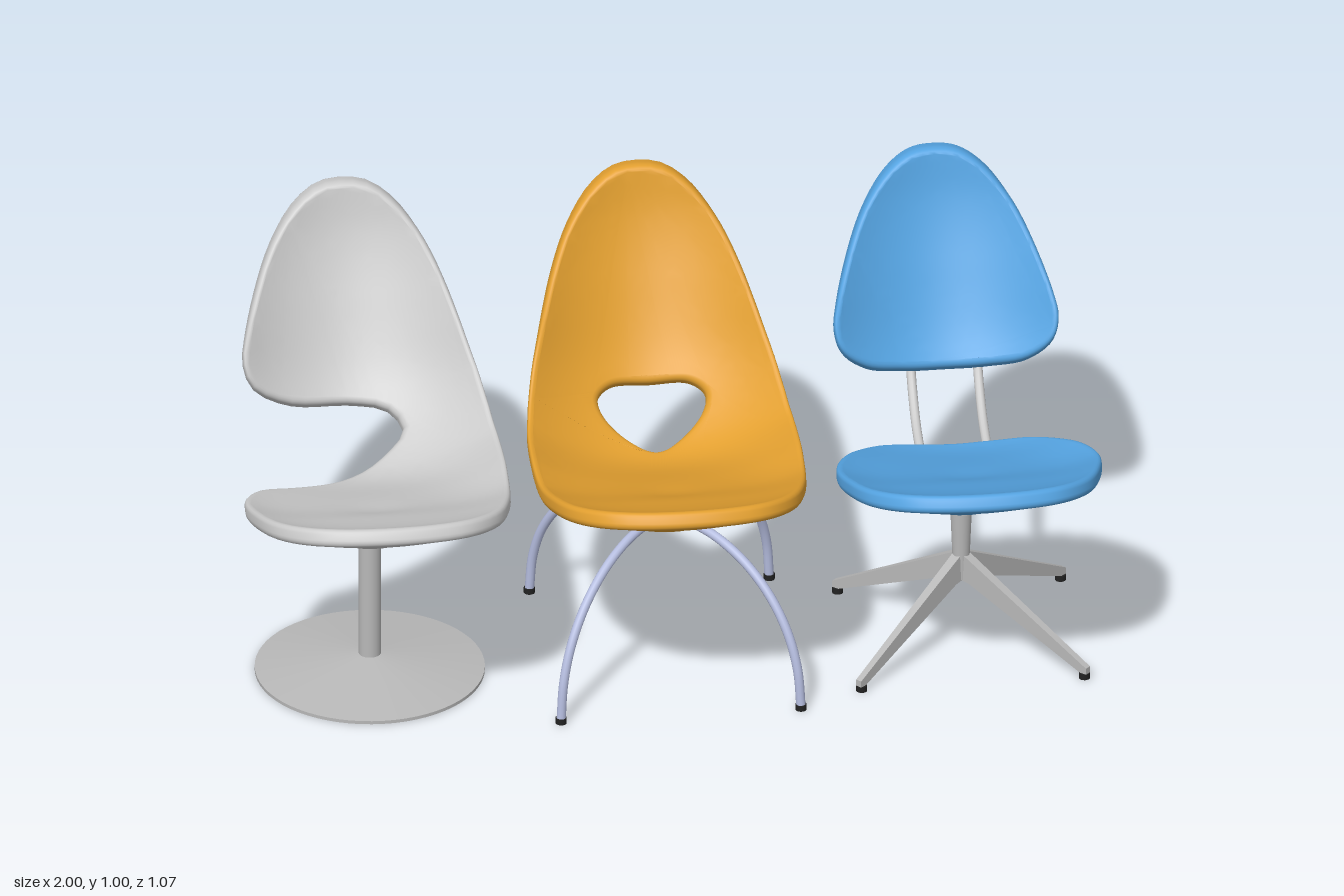
import * as THREE from 'three';
import { mergeVertices } from 'three/addons/utils/BufferGeometryUtils.js';

const { smoothstep, lerp, clamp } = THREE.MathUtils;
const paint = (color) => new THREE.MeshStandardMaterial({ color });
const grey = paint(0xcccccc), orange = paint(0xe3a030), blue = paint(0x55a4e2);
const steel = paint(0xb6bee0), metal = paint(0xb8b8b8), rubber = paint(0x222222);
const AXIS_Z = 0.045; // pedestal position under the seat

// Lengthwise profile shared by all shells: [z, y] from front lip to top of back
const spine = new THREE.CatmullRomCurve3([
  [0.53, 0.615], [0.35, 0.512], [0.2, 0.44], [0.05, 0.415], [-0.1, 0.42], [-0.2, 0.465],
  [-0.3, 0.552], [-0.38, 0.655], [-0.443, 0.765], [-0.492, 0.88], [-0.52, 0.992],
].map(([z, y]) => new THREE.Vector3(0, y, z)));
const SPINE_LENGTH = spine.getLength();

// Flat outlines: [x, distance along the profile]
const frontEdge = [[0.1, 0.01], [0.185, 0.042], [0.258, 0.125], [0.3, 0.26]];
const topEdge = [[0.252, 1.05], [0.217, 1.178], [0.172, 1.288], [0.12, 1.365], [0.06, 1.408]];
const fullSide = [...frontEdge, [0.315, 0.45], [0.311, 0.65], [0.291, 0.86], ...topEdge];
const seatSide = [...frontEdge, [0.308, 0.35], [0.292, 0.44], [0.25, 0.53], [0.17, 0.625], [0.08, 0.66]];
const backSide = [[0.1, 0.885], [0.19, 0.885], [0.245, 0.915], [0.262, 0.975], ...topEdge];
const holeSide = [[0.06, 0.735], [0.115, 0.8], [0.125, 0.85], [0.09, 0.885]];
const flip = (pts) => pts.map(([x, s]) => [-x, s]);
const notchSide = [
  ...flip(frontEdge), [-0.306, 0.38], [-0.26, 0.49], [-0.17, 0.57], [-0.06, 0.645], [0.05, 0.73],
  [0.107, 0.8], [0.075, 0.86], [-0.01, 0.882], [-0.16, 0.88], [-0.24, 0.91], [-0.262, 0.975], ...flip(topEdge),
];

// Closed smooth loop from a start point, right side, end point and left side
function loop(start, right, end, left = flip(right)) {
  const pts = [[0, start], ...right, [0, end], ...left.slice().reverse()];
  const curve = new THREE.CatmullRomCurve3(pts.map(([x, s]) => new THREE.Vector3(x, s, 0)), true);
  return curve.getSpacedPoints(120).slice(0, -1).map((p) => new THREE.Vector2(p.x, p.y));
}

// Split long edges at their midpoints so that flat faces can bend
function subdivide(geometry, maxEdge) {
  const src = geometry.attributes.position, out = [], stack = [];
  const at = (i) => new THREE.Vector3().fromBufferAttribute(src, i);
  for (let i = 0; i < src.count; i += 3) stack.push([at(i), at(i + 1), at(i + 2)]);
  while (stack.length) {
    const t = stack.pop();
    const d = [0, 1, 2].map((k) => t[k].distanceTo(t[(k + 1) % 3]));
    const k = d.indexOf(Math.max(...d));
    if (d[k] <= maxEdge) {
      t.forEach((v) => out.push(v.x, v.y, v.z));
      continue;
    }
    const a = t[k], b = t[(k + 1) % 3], c = t[(k + 2) % 3];
    const m = a.clone().add(b).multiplyScalar(0.5);
    stack.push([a, m, c], [m, b, c]);
  }
  const g = new THREE.BufferGeometry();
  g.setAttribute('position', new THREE.Float32BufferAttribute(out, 3));
  return mergeVertices(g, 1e-5);
}

// Round-edged slab cut to an outline, then bent along the profile and dished across it
function shell(name, outline, material, hole) {
  const shape = new THREE.Shape(outline);
  if (hole) shape.holes.push(new THREE.Path(hole));
  const slab = new THREE.ExtrudeGeometry(shape, {
    depth: 0.014, bevelThickness: 0.014, bevelSize: 0.014, bevelOffset: -0.014, bevelSegments: 4,
  });
  const g = subdivide(slab, 0.035), p = g.attributes.position;
  for (let i = 0; i < p.count; i++) {
    const x = p.getX(i), s = p.getY(i);
    let t = p.getZ(i) - 0.007;
    // the backrest is thicker towards its front
    if (t > 0) t *= 1 + 0.9 * smoothstep(s, 0.85, 1.15);
    const u = clamp(s / SPINE_LENGTH, 0, 1);
    const c = spine.getPointAt(u), d = spine.getTangentAt(u);
    const dish = s < 0.5 ? 0.25 + 1.7 * s : Math.min(1.1 + s - 0.5, 1.65);
    const lift = dish * x * x + t;
    let y = c.y - d.z * lift;
    const z = c.z + d.y * lift;
    if (t < 0) {
      // underside flows down into the mounting plate
      y = lerp(0.383, y, smoothstep(Math.hypot(x, z - AXIS_Z), 0.1, 0.2));
    } else {
      // seat is padded in the middle
      y += 0.042 * (1 - smoothstep(Math.hypot(x, z - 0.2), 0.05, 0.32));
    }
    p.setXYZ(i, x, y, z);
  }
  g.computeVertexNormals();
  return part(name, g, material);
}

function part(name, geometry, material, x = 0, y = 0, z = 0) {
  const m = new THREE.Mesh(geometry, material);
  m.name = name;
  m.position.set(x, y, z);
  return m;
}

function tube(name, points, radius, material) {
  const curve = new THREE.CatmullRomCurve3(points.map((p) => new THREE.Vector3(...p)));
  return part(name, new THREE.TubeGeometry(curve, 64, radius, 12), material);
}

const mountPlate = () =>
  part('mountPlate', new THREE.CylinderGeometry(0.112, 0.11, 0.01, 40), grey, 0, 0.382, AXIS_Z);
const foot = (x, z) =>
  part('footCap', new THREE.CylinderGeometry(0.013, 0.013, 0.014, 16), rubber, x, 0.007, z);

function chair(name, x, ...parts) {
  const g = new THREE.Group();
  g.name = name;
  g.position.x = x;
  g.add(mountPlate(), ...parts);
  return g;
}

// Chair with one open side on a round pedestal
function pedestalChair() {
  const disc = [[0, 0], [0.267, 0], [0.267, 0.008], [0.026, 0.043]];
  return chair('pedestalChair', -0.69,
    shell('notchedShell', loop(0, fullSide, 1.417, notchSide), grey),
    part('baseDisc', new THREE.LatheGeometry(
      disc.flatMap((p) => [new THREE.Vector2(...p), new THREE.Vector2(...p)]), 64), metal, 0, 0, AXIS_Z),
    part('pole', new THREE.CylinderGeometry(0.026, 0.026, 0.35, 32), metal, 0, 0.205, AXIS_Z));
}

// Chair with a hole in the back on two crossed tube arches
function archChair() {
  const half = [
    [0.28, 0.005], [0.273, 0.1], [0.253, 0.185], [0.217, 0.262], [0.167, 0.322], [0.11, 0.358], [0.06, 0.369],
  ];
  const path = [...half, ...flip(half).reverse()];
  const parts = [];
  for (const side of [1, -1]) {
    const at = (x) => AXIS_Z - 0.005 + side * x * 1.125;
    parts.push(tube('archLeg', path.map(([x, y]) => [x, y, at(x)]), 0.011, steel));
    parts.push(foot(0.28, at(0.28)), foot(-0.28, at(-0.28)));
  }
  return chair('archChair', 0,
    shell('piercedShell', loop(0, fullSide, 1.417), orange, loop(0.7, holeSide, 0.89)), ...parts);
}

// Chair with separate seat and back on a four-legged spider base
function spiderChair() {
  const parts = [part('pole', new THREE.CylinderGeometry(0.027, 0.018, 0.225, 32), metal, 0, 0.267, AXIS_Z)];
  const blade = new THREE.ExtrudeGeometry(new THREE.Shape(
    [[0, 0.155], [0.03, 0.15], [0.345, 0.014], [0.362, 0.014], [0.362, 0.03], [0.015, 0.22], [0, 0.22]]
      .map((p) => new THREE.Vector2(...p))), { depth: 0.024, bevelEnabled: false });
  blade.translate(0, 0, -0.012);
  const p = blade.attributes.position;
  for (let i = 0; i < p.count; i++) p.setZ(i, p.getZ(i) * (1 - p.getX(i)));
  blade.computeVertexNormals();
  for (const sx of [1, -1]) {
    for (const sz of [1, -1]) {
      const leg = part('spiderLeg', blade, metal, 0, 0, AXIS_Z);
      leg.rotation.y = Math.atan2(-sz * 0.237, sx * 0.26);
      parts.push(leg, foot(sx * 0.26, AXIS_Z + sz * 0.237));
    }
    const x = sx * 0.078;
    parts.push(tube('backSupport', [
      [x, 0.405, -0.03], [x, 0.413, -0.1], [x, 0.44, -0.19], [x, 0.495, -0.262], [x, 0.55, -0.302], [x, 0.59, -0.32],
    ], 0.011, grey));
  }
  return chair('spiderChair', 0.69,
    shell('seat', loop(0, seatSide, 0.665), blue),
    shell('backrest', loop(0.888, backSide, 1.417), blue), ...parts);
}

export function createModel() {
  const model = new THREE.Group();
  model.name = 'threeChairs';
  model.add(pedestalChair(), archChair(), spiderChair());
  return model;
}
